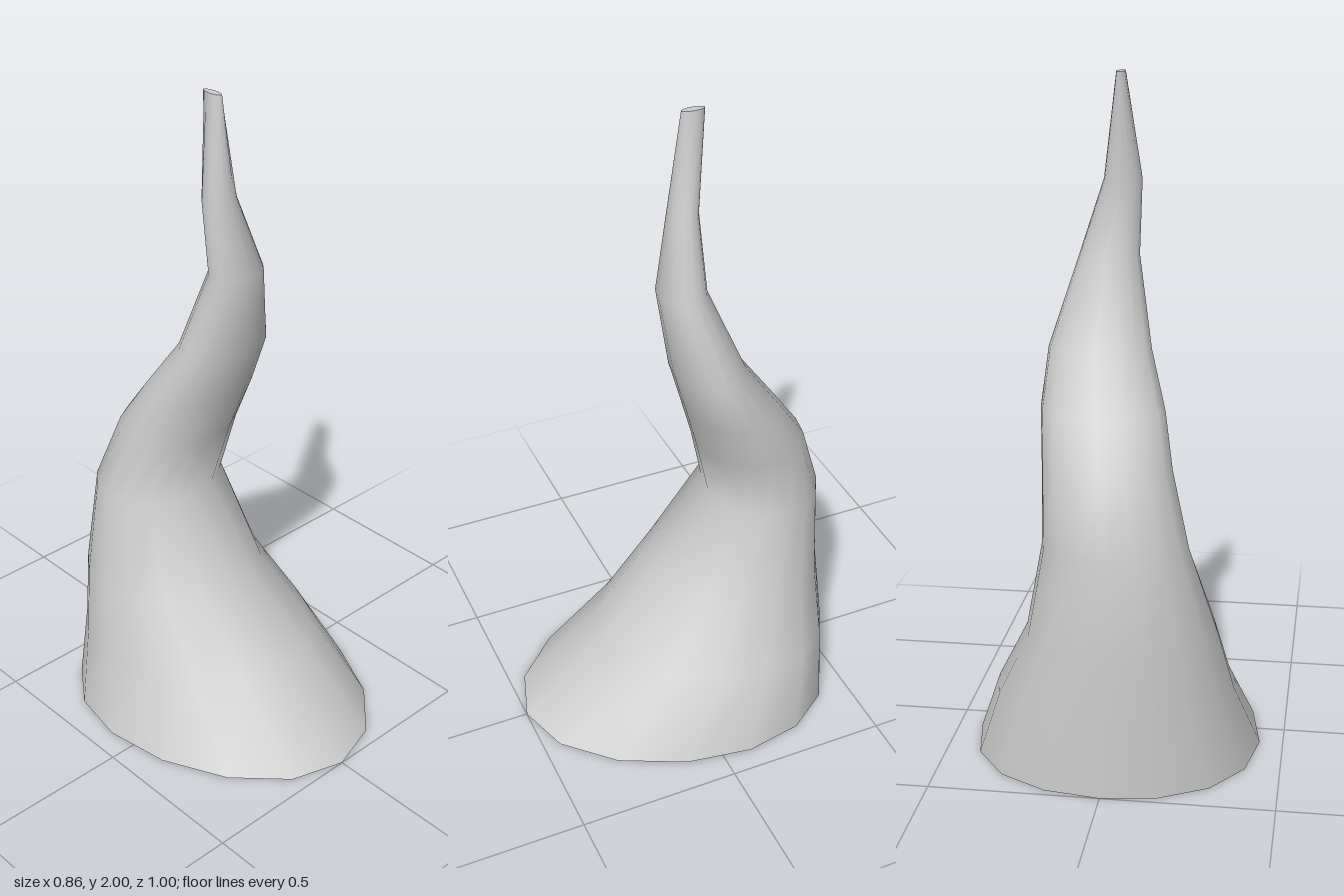
import * as THREE from 'three';

const SIDES = 16;

// Cross-sections: height, left/right extent in x, back/front extent in z, egg skew
const RINGS = [
  [0.00, -0.43, 0.43, -0.50, 0.50, 0.09],
  [0.22, -0.355, 0.35, -0.498, 0.25, 0.06],
  [0.42, -0.31, 0.25, -0.496, 0.06, 0.03],
  [0.70, -0.23, 0.19, -0.49, -0.14, 0],
  [0.91, -0.175, 0.20, -0.42, -0.085, 0],
  [1.06, -0.145, 0.215, -0.315, -0.04, 0],
  [1.22, -0.095, 0.205, -0.20, 0.01, 0],
  [1.48, -0.05, 0.125, -0.09, 0.05, 0],
  [1.70, -0.06, 0.05, -0.085, 0.00, 0],
  [2.00, -0.015, 0.01, -0.105, -0.035, 0],
];

function ringPoints([y, x0, x1, z0, z1, egg]) {
  const points = [];
  for (let i = 0; i < SIDES; i++) {
    const a = (i / SIDES) * Math.PI * 2;
    const s = Math.sin(a);
    points.push(
      (x0 + x1) / 2 + ((x1 - x0) / 2) * s,
      y,
      (z0 + z1) / 2 + ((z1 - z0) / 2) * Math.cos(a) - egg * s * s
    );
  }
  return points;
}

function meshFrom(name, positions, index, material) {
  const geometry = new THREE.BufferGeometry();
  geometry.setAttribute('position', new THREE.Float32BufferAttribute(positions, 3));
  geometry.setIndex(index);
  geometry.computeVertexNormals();
  const mesh = new THREE.Mesh(geometry, material);
  mesh.name = name;
  return mesh;
}

export function createModel() {
  const group = new THREE.Group();
  group.name = 'curvedHorn';
  const material = new THREE.MeshStandardMaterial({ color: 0xcccccc, side: THREE.DoubleSide });

  // Hollow bent shell, open at the base
  const index = [];
  for (let r = 0; r < RINGS.length - 1; r++) {
    for (let i = 0; i < SIDES; i++) {
      const j = (i + 1) % SIDES;
      const a = r * SIDES + i, b = r * SIDES + j;
      const c = a + SIDES, d = b + SIDES;
      index.push(a, b, d, a, d, c);
    }
  }
  group.add(meshFrom('hornShell', RINGS.flatMap(ringPoints), index, material));

  // Small flat end at the tip
  const capIndex = [];
  for (let i = 1; i < SIDES - 1; i++) capIndex.push(0, i, i + 1);
  group.add(meshFrom('tipCap', ringPoints(RINGS[RINGS.length - 1]), capIndex, material));

  return group;
}
